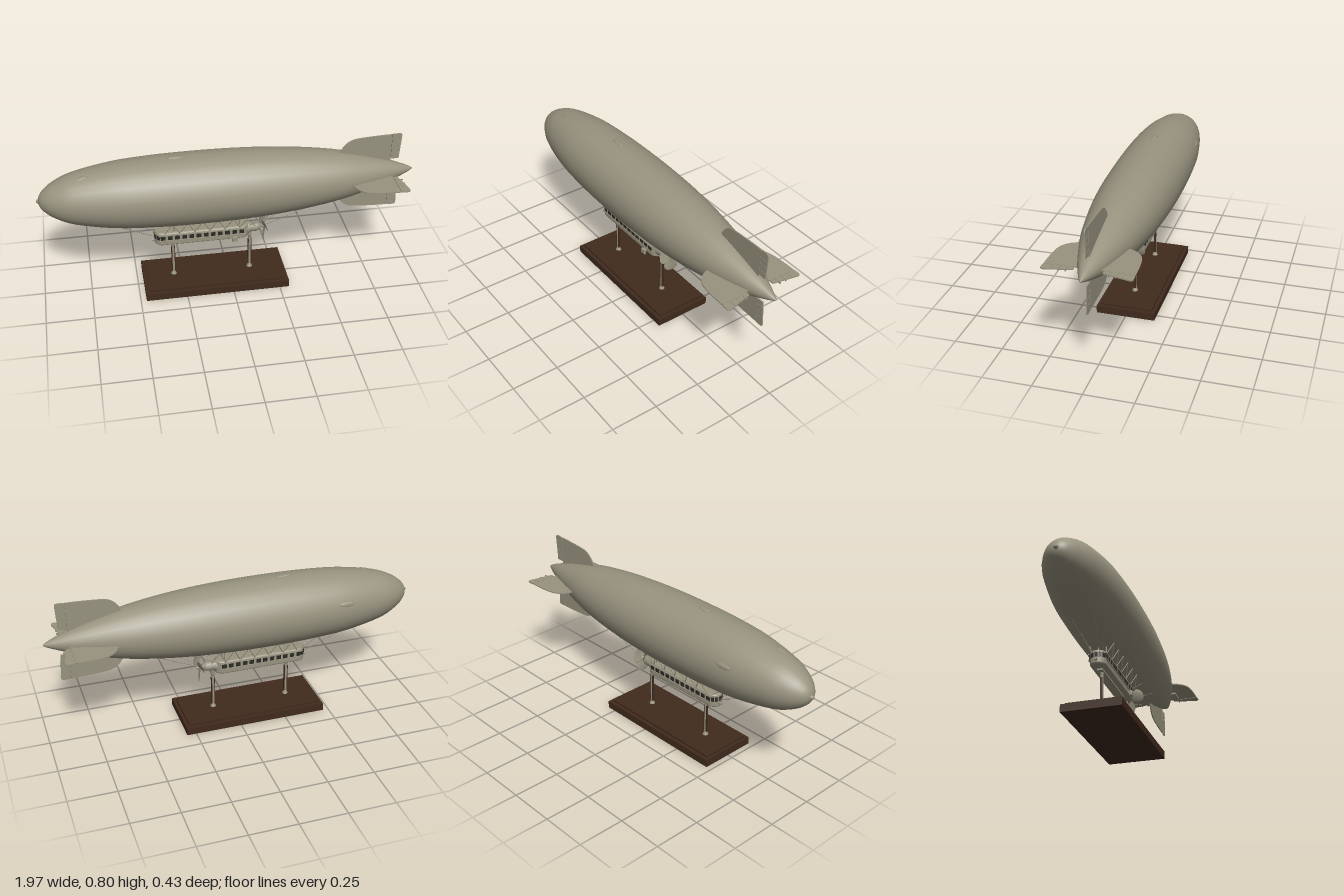
import * as THREE from 'three';

const mat = (name, color, side = THREE.FrontSide) => {
  const m = new THREE.MeshStandardMaterial({ color, side });
  m.name = name;
  return m;
};

export function createModel() {
  const skin = mat('grey skin', 0x98937f);
  const wood = mat('dark wood', 0x412a1d);
  const glass = mat('dark windows', 0x2b2a26);
  const root = new THREE.Group();
  root.name = 'airship on stand';
  const AXIS = 0.587;

  const add = (name, geo, material, x = 0, y = 0, z = 0, parent = root) => {
    const mesh = new THREE.Mesh(geo, material);
    mesh.name = name;
    mesh.position.set(x, y, z);
    parent.add(mesh);
    return mesh;
  };
  const box = (name, w, h, d, material, x, y, z, parent) =>
    add(name, new THREE.BoxGeometry(w, h, d), material, x, y, z, parent);
  // Straight rod between two points
  const rod = (name, a, b, r, material = skin, sides = 5) => {
    const p = new THREE.Vector3(...a), q = new THREE.Vector3(...b);
    const dir = q.clone().sub(p);
    const mesh = add(name, new THREE.CylinderGeometry(r, r, dir.length(), sides), material);
    mesh.position.copy(p).add(q).multiplyScalar(0.5);
    mesh.quaternion.setFromUnitVectors(new THREE.Vector3(0, 1, 0), dir.normalize());
    return mesh;
  };
  // Solid of revolution along x from [x, radius] pairs
  const spindle = (name, pts, sides, material, y, smooth = 0) => {
    let v = pts.map(([x, r]) => new THREE.Vector2(r, x));
    if (smooth) v = new THREE.SplineCurve(v).getPoints(smooth);
    v.forEach((p) => { p.x = Math.max(p.x, 0); });
    return add(name, new THREE.LatheGeometry(v, sides).rotateZ(-Math.PI / 2), material, 0, y, 0);
  };

  // Envelope
  spindle('envelope', [[-0.98, 0], [-0.972, 0.028], [-0.95, 0.057], [-0.9, 0.094], [-0.8, 0.135],
    [-0.6, 0.172], [-0.4, 0.186], [-0.2, 0.19], [0, 0.188], [0.2, 0.179], [0.4, 0.16],
    [0.6, 0.128], [0.8, 0.075], [0.92, 0.032], [0.97, 0.01], [0.983, 0]], 28, skin, AXIS, 60);
  spindle('noseCap', [[-0.988, 0], [-0.988, 0.007], [-0.97, 0.016], [-0.96, 0.016]], 12, skin, AXIS);
  // Valve covers lying on the envelope
  [[-0.765, 0.139, 0.28, 0.3], [-0.28, 0.188, 0, 0], [-0.57, 0.174, -1.25, 0.08]].forEach(([x, r, turn, tilt]) => {
    const holder = new THREE.Group();
    holder.name = 'valveCover';
    holder.position.set(x, AXIS, 0);
    holder.rotation.x = turn;
    const cover = add('cover', new THREE.SphereGeometry(1, 14, 8), skin, 0, r, 0, holder);
    cover.scale.set(0.045, 0.006, 0.014);
    cover.rotation.z = tilt;
    root.add(holder);
  });

  // Tail fins, each drawn outward from the hull axis
  const plate = (pts, depth) => {
    const s = new THREE.Shape();
    s.moveTo(...pts[0]);
    pts.slice(1).forEach((p) => (p.length === 4 ? s.quadraticCurveTo(...p) : s.lineTo(...p)));
    return new THREE.ExtrudeGeometry(s, { depth, bevelEnabled: false, curveSegments: 8 })
      .translate(0, 0, -depth / 2);
  };
  for (let i = 0; i < 4; i++) {
    const flat = i % 2 === 1;
    const lead = flat ? 0.63 : 0.58;
    const fin = new THREE.Group();
    fin.name = flat ? 'stabilizer' : 'verticalFin';
    fin.position.y = flat ? AXIS - 0.005 : AXIS;
    fin.rotation.x = i * Math.PI / 2;
    root.add(fin);
    add('finPlate', plate([[lead, 0.09], [lead, 0.13], [lead + 0.025, 0.195, lead + 0.085, 0.205],
      [0.75, 0.213, 0.855, 0.215], [0.855, 0.04], [0.7, 0.04]], 0.006), skin, 0, 0, 0, fin);
    const inner = flat ? 0.88 : 0.9;
    add('controlSurface', plate([[0.862, 0.07], [0.862, 0.216], [0.895, 0.217],
      [0.908, 0.217, 0.908, 0.2], [inner, 0.07]], 0.006), skin, 0, 0, 0, fin);
    // Hinge and rib battens
    box('hinge', 0.006, 0.14, 0.009, skin, 0.859, 0.142, 0, fin);
    [0.1, 0.135, 0.17].forEach((r) => box('batten', 0.038, 0.004, 0.009, skin, 0.88, r, 0, fin));
    if (flat) {
      box('balanceTab', 0.09, 0.045, 0.01, skin, 0.79, 0.09, i === 1 ? 0.009 : -0.009, fin)
        .position.z = i === 1 ? 0.009 : -0.009;
    }
  }

  // Gondola body with rounded plan ends
  const plan = new THREE.Shape();
  const hw = 0.032, x0 = -0.36, x1 = 0.06;
  plan.moveTo(x0, -hw);
  plan.lineTo(x1, -hw);
  plan.absarc(x1, 0, hw, -Math.PI / 2, Math.PI / 2, false);
  plan.lineTo(x0, hw);
  plan.absarc(x0, 0, hw, Math.PI / 2, Math.PI * 1.5, false);
  const body = new THREE.ExtrudeGeometry(plan, {
    depth: 0.056, bevelSize: 0.01, bevelThickness: 0.01, bevelSegments: 4, curveSegments: 10,
  }).rotateX(-Math.PI / 2);
  add('gondola', body, skin, 0, 0.276, 0);
  box('gondolaKeel', 0.36, 0.014, 0.03, skin, -0.16, 0.264, 0);

  for (const s of [-1, 1]) {
    // Side windows and rails
    for (let i = 0; i < 12; i++) {
      box('window', 0.024, 0.024, 0.004, glass, -0.36 + i * 0.038, 0.314, s * 0.0425);
    }
    box('windowRail', 0.46, 0.005, 0.005, skin, -0.15, 0.298, s * 0.0445);
    box('windowRail', 0.46, 0.005, 0.005, skin, -0.15, 0.33, s * 0.0445);
    // Zigzag suspension
    for (let i = 0; i < 6; i++) {
      const x = -0.35 + i * 0.08;
      const top = [x + 0.04, 0.412, s * 0.065];
      rod('suspensionStrut', [x, 0.338, s * 0.04], top, 0.0022);
      rod('suspensionStrut', [x + 0.08, 0.338, s * 0.04], top, 0.0022);
    }
    rod('innerStrut', [-0.3, 0.34, s * 0.02], [-0.3, 0.41, s * 0.02], 0.003);
    rod('innerStrut', [0.05, 0.34, s * 0.02], [0.05, 0.41, s * 0.02], 0.003);
    // Bracing cables
    rod('frontCable', [-0.395, 0.315, s * 0.02], [-0.6, 0.43, s * 0.06], 0.0015);
    rod('frontCable', [-0.38, 0.34, s * 0.03], [-0.47, 0.42, s * 0.06], 0.0015);
    rod('rearCable', [0.17, 0.31, s * 0.01], [0.41, 0.44, s * 0.06], 0.0015);
    rod('rearCable', [0.1, 0.335, s * 0.03], [0.22, 0.42, s * 0.06], 0.0015);
  }
  // Nose windows and handling bumper
  for (let i = -2; i <= 2; i++) {
    const a = i * 0.5;
    const w = box('noseWindow', 0.004, 0.024, 0.015, glass,
      x0 - Math.cos(a) * 0.0415, 0.314, Math.sin(a) * 0.0415);
    w.rotation.y = a;
  }
  rod('noseBumper', [-0.415, 0.288, 0], [-0.37, 0.288, 0], 0.008, skin, 10);
  box('exhaust', 0.03, 0.025, 0.012, skin, 0.02, 0.275, 0.056);
  box('exhaustBracket', 0.02, 0.01, 0.02, skin, 0.02, 0.28, 0.044);
  add('bumperWheel', new THREE.CylinderGeometry(0.012, 0.012, 0.014, 14).rotateX(Math.PI / 2),
    glass, 0.015, 0.262, 0);

  // Engine and propeller
  spindle('engine', [[0.07, 0.03], [0.1, 0.032], [0.108, 0.026], [0.145, 0.026], [0.16, 0.02],
    [0.165, 0.008], [0.198, 0.008], [0.205, 0]], 16, skin, 0.308);
  const propeller = new THREE.Group();
  propeller.name = 'propeller';
  propeller.position.set(0.185, 0.308, 0);
  root.add(propeller);
  add('hub', new THREE.SphereGeometry(0.012, 14, 10), skin, 0, 0, 0, propeller);
  const bladeGeo = new THREE.SphereGeometry(1, 20, 14);
  const p = bladeGeo.attributes.position;
  for (let i = 0; i < p.count; i++) {
    const y = p.getY(i);
    const twist = 0.45 - 0.2 * y;
    const z = p.getZ(i) * 0.042 * (0.8 + 0.2 * y);
    const x = p.getX(i) * 0.003;
    p.setXYZ(i, x * Math.cos(twist) + z * Math.sin(twist), 0.041 + y * 0.037,
      z * Math.cos(twist) - x * Math.sin(twist));
  }
  bladeGeo.computeVertexNormals();
  for (let i = 0; i < 3; i++) {
    add('blade', bladeGeo, skin, 0, 0, 0, propeller).rotation.x = Math.PI + i * Math.PI * 2 / 3;
  }

  // Stand posts with wooden inlays
  for (const x of [-0.305, 0.11]) {
    add('postFoot', new THREE.CylinderGeometry(0.008, 0.016, 0.018, 14), skin, x, 0.059, 0);
    rod('post', [x, 0.05, 0], [x, 0.285, 0], 0.0085, skin, 12);
    for (const s of [-1, 1]) box('postInlay', 0.005, 0.16, 0.012, wood, x + s * 0.0075, 0.15, 0);
    add('postCollar', new THREE.CylinderGeometry(0.012, 0.0085, 0.02, 12), skin, x, 0.25, 0);
  }

  // Stepped wooden base
  box('base', 0.77, 0.04, 0.31, wood, -0.085, 0.02, 0);
  box('baseTop', 0.735, 0.012, 0.272, wood, -0.085, 0.045, 0);
  return root;
}
